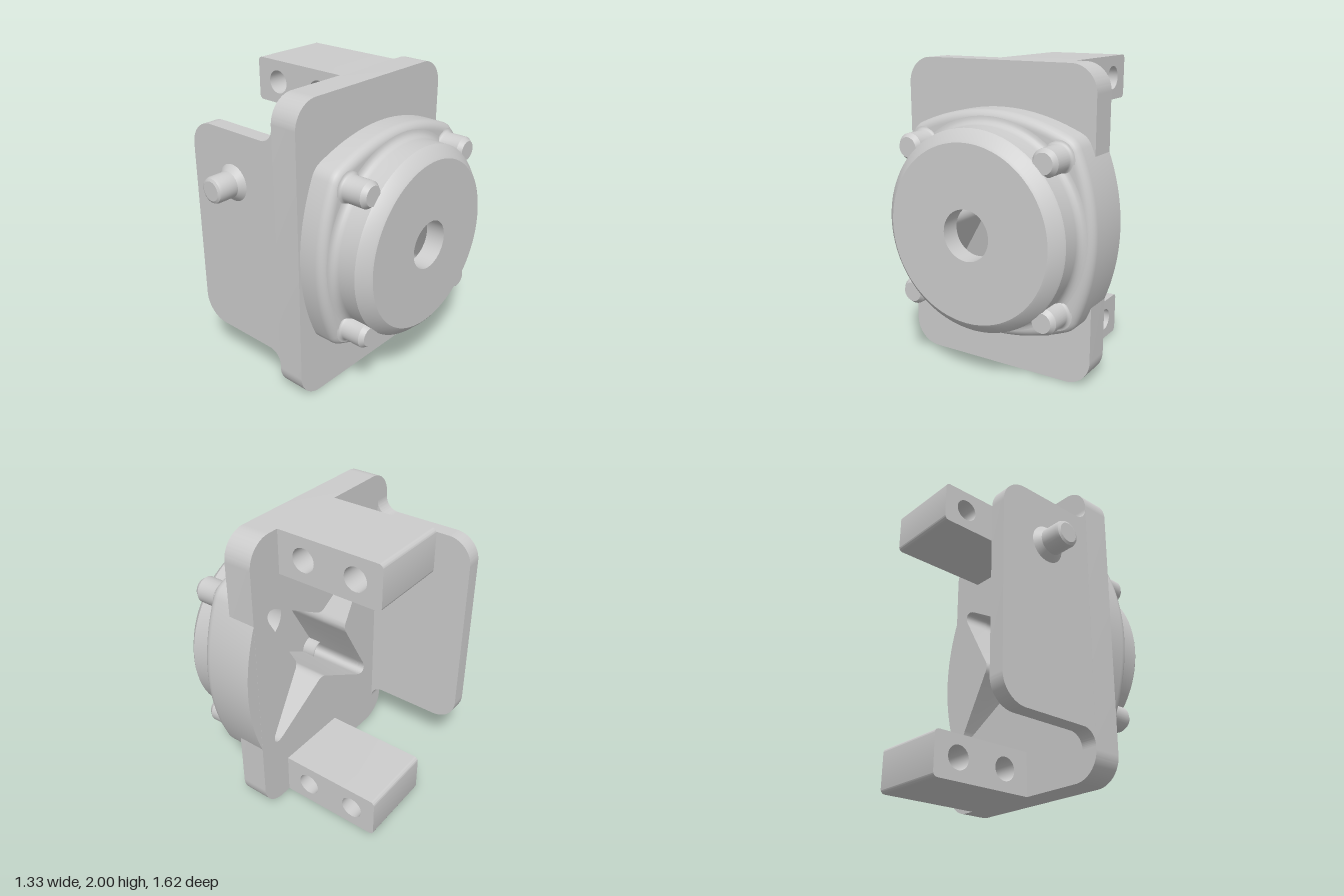
import * as THREE from 'three';
import { toCreasedNormals } from 'three/addons/utils/BufferGeometryUtils.js';

const V = (x, y) => new THREE.Vector2(x, y);

// Outline made of one quarter repeated four times around the centre.
function fourfold(quarter) {
  const pts = [];
  for (let k = 0; k < 4; k++) {
    for (const p of quarter) pts.push(p.clone().rotateAround(V(0, 0), k * Math.PI / 2));
  }
  return pts;
}

// Wall through scaled copies of an outline; rings are [scale, depth].
function loft(points, rings) {
  const pos = [], idx = [], n = points.length;
  rings.forEach(([s, z], k) => {
    points.forEach((p, i) => {
      pos.push(p.x * s, p.y * s, z);
      if (k === 0) return;
      const a = (k - 1) * n + i, b = (k - 1) * n + (i + 1) % n;
      idx.push(a, b, b + n, a, b + n, a + n);
    });
  });
  const g = new THREE.BufferGeometry();
  g.setAttribute('position', new THREE.Float32BufferAttribute(pos, 3));
  g.setIndex(idx);
  return toCreasedNormals(g, 0.6);
}

// Turned part whose axis is +z.
function turned(profile, segments) {
  const g = new THREE.LatheGeometry(profile.map(([r, z]) => V(r, z)), segments);
  return toCreasedNormals(g.rotateX(Math.PI / 2), 0.5);
}

function extrude(shape, z0, z1) {
  const g = new THREE.ExtrudeGeometry(shape, { depth: z1 - z0, bevelEnabled: false, curveSegments: 16 });
  return toCreasedNormals(g.translate(0, 0, z0), 0.5);
}

function roundedRect(x0, y0, x1, y1, r) {
  const s = new THREE.Shape();
  s.absarc(x1 - r, y0 + r, r, -Math.PI / 2, 0);
  s.absarc(x1 - r, y1 - r, r, 0, Math.PI / 2);
  s.absarc(x0 + r, y1 - r, r, Math.PI / 2, Math.PI);
  s.absarc(x0 + r, y0 + r, r, Math.PI, Math.PI * 1.5);
  s.closePath();
  return s;
}

function circleHole(x, y, r) {
  const p = new THREE.Path();
  p.absarc(x, y, r, 0, Math.PI * 2, true);
  return p;
}

export function createModel() {
  const model = new THREE.Group();
  model.name = 'flangedBracket';
  const mat = new THREE.MeshStandardMaterial({ color: 0xcccccc });
  const add = (parent, name, geometry) => {
    const m = new THREE.Mesh(geometry, mat);
    m.name = name;
    parent.add(m);
    return m;
  };

  // Parts stacked along x are built along z and turned a quarter.
  const axial = new THREE.Group();
  axial.name = 'axialParts';
  axial.rotation.y = Math.PI / 2;
  model.add(axial);
  const cx = 0.095, cy = 1.005, back = 0.045, pocketEnd = 0.53;

  // Bulged square outline of the flange
  const side = new THREE.QuadraticBezierCurve(V(0.6, -0.53), V(0.83, 0), V(0.6, 0.53)).getPoints(20);
  const corner = new THREE.QuadraticBezierCurve(V(0.6, 0.53), V(0.579, 0.579), V(0.53, 0.6)).getPoints(6);
  const outline = fourfold([...side, ...corner.slice(1, -1)]);

  // Four-pointed star outline of the rear pocket
  const notch = new THREE.QuadraticBezierCurve(V(0.28, -0.05), V(0.245, 0), V(0.28, 0.05)).getPoints(6);
  const tip = new THREE.CubicBezierCurve(V(0.49, 0.42), V(0.53, 0.49), V(0.49, 0.53), V(0.42, 0.49)).getPoints(8);
  const star = fourfold([...notch, ...tip]);

  // Main plate with the pocket opening
  const plate = roundedRect(-0.633, 0, 0.72, 2, 0.17);
  plate.holes.push(new THREE.Path(star.map(p => V(p.x + cx, p.y + cy))));
  add(axial, 'mainPlate', extrude(plate, back, 0.235));

  const cover = new THREE.Group();
  cover.name = 'cover';
  cover.position.set(cx, cy, 0);
  axial.add(cover);

  // Flange with rounded front edge
  const rings = [[1, back + 0.001], [1, 0.355]];
  for (let i = 1; i <= 6; i++) {
    const a = i / 6 * Math.PI / 2;
    rings.push([0.92 + 0.08 * Math.cos(a), 0.355 + 0.06 * Math.sin(a)]);
  }
  rings.push([0.78, 0.415]);
  add(cover, 'flange', loft(outline, rings));
  const backShape = new THREE.Shape(outline);
  backShape.holes.push(new THREE.Path(star));
  add(cover, 'flangeBack', new THREE.ShapeGeometry(backShape).rotateY(Math.PI)
    .translate(0, 0, back + 0.001));

  // Pocket walls and floor
  add(cover, 'pocketWall', loft([...star].reverse(), [[1, back], [1, pocketEnd]]));
  const floor = new THREE.Shape(star);
  floor.holes.push(circleHole(0, 0, 0.16));
  add(cover, 'pocketFloor', new THREE.ShapeGeometry(floor, 24).rotateY(Math.PI)
    .translate(0, 0, pocketEnd));

  // Round cap with filleted foot, chamfered rim and centre hole
  const fillet = (r, f, z) => [0, 1, 2, 3, 4, 5].map(i => {
    const a = i / 5 * Math.PI / 2;
    return [r + f * (1 - Math.sin(a)), z + f * (1 - Math.cos(a))];
  });
  add(cover, 'cap', turned([...fillet(0.63, 0.05, 0.415), [0.63, 0.585], [0.622, 0.597],
    [0.57, 0.65], [0.555, 0.66], [0.16, 0.66], [0.16, pocketEnd]], 72));

  // Corner bosses
  for (const sx of [-1, 1]) for (const sy of [-1, 1]) {
    const boss = add(cover, 'cornerBoss', turned([...fillet(0.085, 0.025, 0.413), [0.085, 0.56],
      [0.063, 0.59], [0, 0.59]], 32));
    boss.position.set(sx * 0.477, sy * 0.472, 0);
  }

  // Side panel, flared where it meets the main plate
  const p = new THREE.Shape();
  p.moveTo(0.06, 0.195);
  p.lineTo(0.045, 0.195);
  p.absarc(-0.05, 0.19, 0.095, 0, Math.PI / 2);
  p.absarc(-0.495, 0.455, 0.17, Math.PI * 1.5, Math.PI, true);
  p.absarc(-0.495, 1.55, 0.17, Math.PI, Math.PI / 2, true);
  p.absarc(-0.05, 1.815, 0.095, -Math.PI / 2, 0);
  p.lineTo(0.06, 1.815);
  p.closePath();
  add(model, 'sidePanel', extrude(p, 0.526, 0.632));

  // Mounting lugs with two cross holes each
  for (const y0 of [0, 1.715]) {
    const s = new THREE.Shape();
    const y1 = y0 + 0.285, r = 0.03;
    s.moveTo(0.06, y0);
    s.lineTo(0.06, y1);
    s.absarc(-0.665 + r, y1 - r, r, Math.PI / 2, Math.PI);
    s.absarc(-0.665 + r, y0 + r, r, Math.PI, Math.PI * 1.5);
    s.closePath();
    for (const x of [-0.49, -0.135]) s.holes.push(circleHole(x, y0 + 0.143, 0.076));
    add(model, 'mountingLug', extrude(s, -0.48, 0.05));
  }

  // Stub on the side panel
  const stub = add(model, 'stub', turned([[0.12, 0.625], [0.12, 0.632], [0.085, 0.67], [0.085, 0.785],
    [0.079, 0.801], [0.063, 0.81], [0, 0.81]], 36));
  stub.position.set(-0.312, 1.385, 0);

  return model;
}
